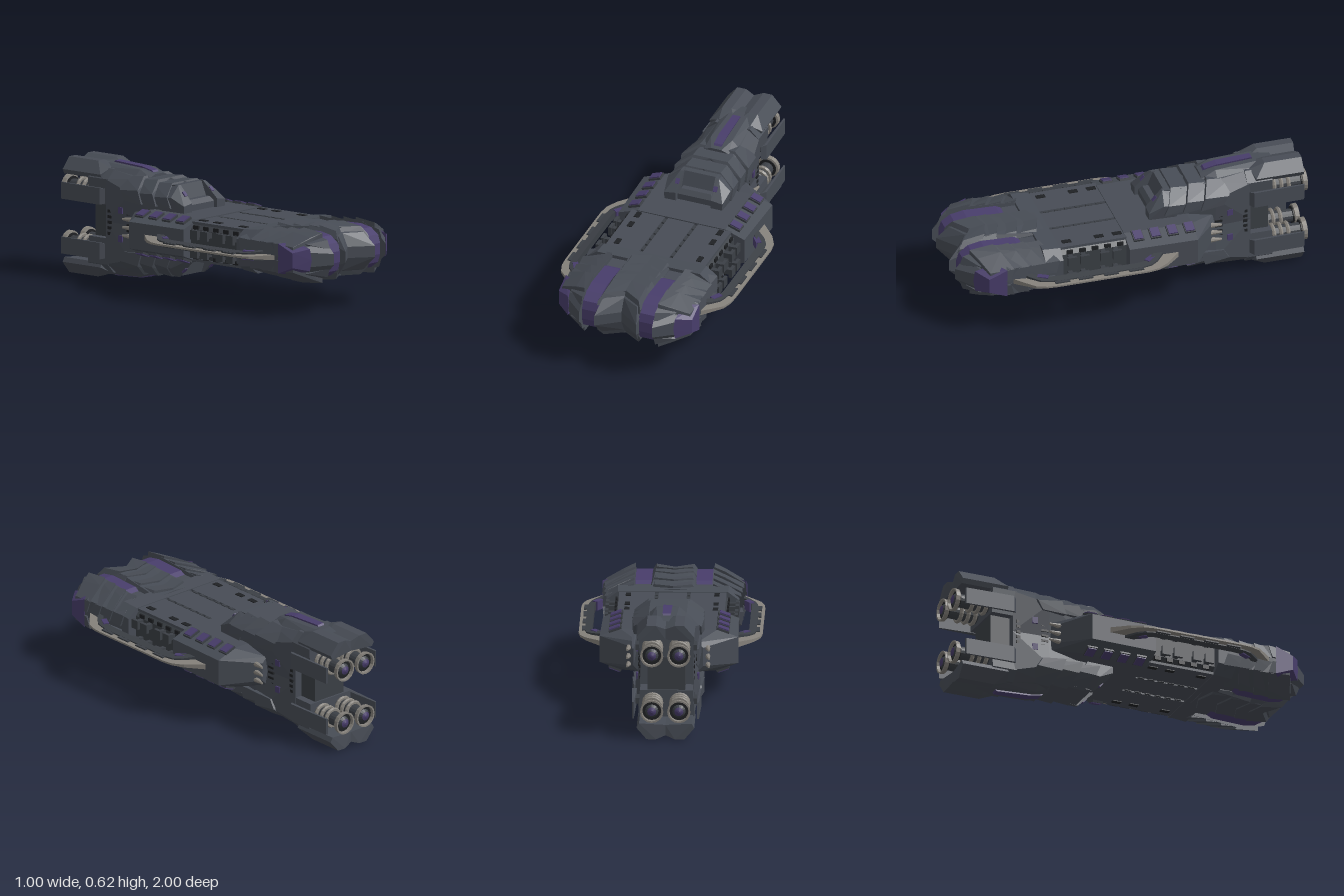
import * as THREE from 'three';
import { ConvexGeometry } from 'three/addons/geometries/ConvexGeometry.js';

const mat = (name, color, side = THREE.FrontSide) => {
  const m = new THREE.MeshStandardMaterial({ color, side });
  m.name = name;
  return m;
};

export function createModel() {
  const hullMat = mat('slate hull', 0x474c55);
  const panelMat = mat('dark panel', 0x3b3f45);
  const purple = mat('purple', 0x483d6b);
  const metal = mat('pale metal', 0x85817b, THREE.DoubleSide);
  const black = mat('recess', 0x1f2124);

  const ship = new THREE.Group();
  ship.name = 'ship';

  // Copy of a geometry mirrored in x and/or y, winding kept outward
  const mirrored = (geo, sx, sy) => {
    const g = geo.index ? geo.toNonIndexed() : geo.clone();
    const p = g.attributes.position;
    for (let i = 0; i < p.count; i += 3) {
      const v = [0, 1, 2].map(k => new THREE.Vector3().fromBufferAttribute(p, i + k));
      if (sx * sy < 0) v.reverse();
      v.forEach((q, k) => p.setXYZ(i + k, q.x * sx, q.y * sy, q.z));
    }
    g.computeVertexNormals();
    return g;
  };
  // Adds a part, mirrored along the listed axes
  const put = (name, geo, material, axes = 'xy') => {
    for (const sx of axes.includes('x') ? [1, -1] : [1])
      for (const sy of axes.includes('y') ? [1, -1] : [1]) {
        const mesh = new THREE.Mesh(mirrored(geo, sx, sy), material);
        mesh.name = name;
        ship.add(mesh);
      }
  };
  const solid = pts => new ConvexGeometry(pts.map(p => new THREE.Vector3(...p)));
  const box = (w, h, d, x, y, z) => new THREE.BoxGeometry(w, h, d).translate(x, y, z);
  // Chamfered ring of corners at one z
  const oct = (z, w, h, cx, cy) => [1, -1].flatMap(a => [1, -1].flatMap(b =>
    [[a * (w - cx), b * h, z], [a * w, b * (h - cy), z]]));
  // Both signs of y, or of x, for a list of points
  const upDown = pts => pts.flatMap(([x, y, z]) => [[x, y, z], [x, -y, z]]);
  const bothSides = pts => pts.flatMap(([x, y, z]) => [[x, y, z], [-x, y, z]]);

  // Main hull
  put('midHull', solid([...oct(0.5, 0.3, 0.098, 0.03, 0.03), ...oct(0, 0.3, 0.098, 0.03, 0.03)]), panelMat, '');
  put('rearHull', solid([...oct(0.065, 0.36, 0.112, 0.11, 0.04), ...oct(-0.31, 0.368, 0.112, 0.11, 0.04),
    ...oct(-0.455, 0.185, 0.08, 0.03, 0.03)]), hullMat, '');
  put('frontCollar', solid([...oct(0.43, 0.352, 0.11, 0.06, 0.045), ...oct(0.53, 0.355, 0.118, 0.06, 0.045)]), hullMat, '');

  // Mid deck plates, ribs and hatches
  put('centreDeck', box(0.15, 0.012, 0.38, 0, 0.1, 0.25), hullMat, 'y');
  put('sideDeck', box(0.19, 0.014, 0.38, 0.19, 0.1, 0.25), hullMat);
  for (let i = 0; i < 6; i++)
    put('deckRib', box(0.014, 0.012, 0.035, 0.085, 0.102, 0.1 + i * 0.058), panelMat);
  for (const z of [0.1, 0.2, 0.38])
    put('deckHatch', box(0.028, 0.012, 0.05, 0.235, 0.105, z), black);
  // Side brackets
  for (const z of [0.13, 0.2, 0.31, 0.38]) {
    put('bracketArm', box(0.05, 0.03, 0.025, 0.318, 0.05, z), panelMat);
    put('bracketPad', box(0.018, 0.05, 0.05, 0.345, 0.05, z), panelMat);
  }
  for (const z of [0.1, 0.17, 0.24, 0.31, 0.38])
    put('sideSlot', box(0.01, 0.02, 0.035, 0.298, 0.08, z), black);
  // Rear deck windows, lying on the sloped deck edge
  for (const z of [0, -0.095, -0.19, -0.285]) {
    const tilted = (w, h, d, x, y) => new THREE.BoxGeometry(w, h, d).rotateZ(-0.35).translate(x, y, z);
    put('windowFrame', tilted(0.07, 0.018, 0.058, 0.285, 0.103), panelMat);
    put('window', tilted(0.058, 0.009, 0.048, 0.289, 0.113), purple);
  }

  // Front side lobes with overlapping armour scales
  put('lobe', solid(upDown([[0.205, 0.112, 0.47], [0.205, 0.14, 0.8], [0.205, 0.09, 0.93], [0.208, 0.03, 0.99],
    [0.35, 0.07, 0.47], [0.372, 0.08, 0.74], [0.37, 0.045, 0.845]])), hullMat, 'x');
  for (let i = 0; i < 4; i++) {
    const z = 0.455 + i * 0.085, h = 0.128 + i * 0.007, o = 0.365 + i * 0.004;
    put('lobeScale', solid([
      [0.21, h, z + 0.07], [0.21, h - 0.014, z + 0.2], [0.27, h - 0.018, z + 0.045], [0.27, h - 0.036, z + 0.17],
      [o, 0.078, z], [o - 0.012, 0.068, z + 0.13], [o + 0.008, 0.012, z + 0.02], [o - 0.004, 0.012, z + 0.13],
      [0.21, 0.012, z + 0.07], [0.21, 0.012, z + 0.2]]), hullMat);
  }
  put('lobeBrow', solid([[0.208, 0.147, 0.78], [0.208, 0.1, 0.945], [0.3, 0.108, 0.77], [0.3, 0.08, 0.88],
    [0.208, 0.05, 0.8], [0.3, 0.05, 0.8], [0.208, 0.05, 0.965]]), hullMat);
  put('cheek', solid(upDown([[0.315, 0.09, 0.8], [0.382, 0.08, 0.75], [0.382, 0.04, 0.85], [0.307, 0.06, 0.908], [0.3, 0, 0.915]])), purple, 'x');

  // Purple bands wrapping the nose
  put('bandChannel', box(0.1, 0.2, 0.3, 0.165, 0, 0.6), hullMat, 'x');
  put('noseBand', solid([0.118, 0.206].flatMap(x => upDown([[x, 0.1, 0.61], [x, 0.115, 0.64], [x, 0.121, 0.82],
    [x, 0.108, 0.89], [x, 0.075, 0.94], [x, 0.03, 0.955]]))), purple, 'x');

  // Centre nose block with a notched front
  put('noseBlock', solid(upDown([[0, 0.118, 0.46], [0.12, 0.11, 0.46], [0, 0.14, 0.78], [0.1, 0.14, 0.78], [0.122, 0.09, 0.82],
    [0, 0.1, 0.87], [0.1, 0.1, 0.93], [0, 0.03, 0.905], [0.12, 0.03, 0.995]])), hullMat, 'x');
  for (let i = 0; i < 3; i++) {
    const z = 0.47 + i * 0.11, h = 0.13 + i * 0.006;
    put('noseScale', solid([[0, h, z], [0.1, h, z + 0.035], [0.121, h - 0.03, z + 0.04], [0, h - 0.012, z + 0.16],
      [0.1, h - 0.012, z + 0.19], [0.121, h - 0.045, z + 0.18], [0, 0.05, z], [0.121, 0.05, z + 0.04],
      [0, 0.05, z + 0.16], [0.121, 0.05, z + 0.18]]), hullMat);
  }
  put('noseBrow', solid([[0, 0.146, 0.76], [0.095, 0.147, 0.79], [0.122, 0.1, 0.82], [0, 0.132, 0.845], [0.1, 0.13, 0.91],
    [0.122, 0.09, 0.94], [0, 0.08, 0.8], [0.122, 0.07, 0.82], [0, 0.09, 0.865], [0.122, 0.07, 0.95]]), hullMat);

  // Side rails: bands between an outer and an inner path, thinning outward
  const band = (outer, inner, half, slope) => {
    const g = new THREE.ExtrudeGeometry(
      new THREE.Shape([...outer, ...inner.slice().reverse()].map(p => new THREE.Vector2(...p))),
      { depth: 2, bevelEnabled: false }).rotateX(Math.PI / 2).translate(0, 1, 0);
    const p = g.attributes.position;
    for (let i = 0; i < p.count; i++)
      p.setY(i, p.getY(i) * (half - slope * (p.getX(i) - 0.36)));
    return g;
  };
  const edge = [[0.345, 0.74], [0.4, 0.685], [0.465, 0.615], [0.483, 0.56], [0.488, 0.5], [0.488, 0], [0.478, -0.06], [0.445, -0.12], [0.35, -0.22]];
  const middle = [[0.345, 0.675], [0.39, 0.635], [0.435, 0.58], [0.446, 0.54], [0.455, 0.48], [0.455, 0.02], [0.446, -0.03], [0.42, -0.07], [0.35, -0.13]];
  const inside = [[0.345, 0.63], [0.38, 0.6], [0.408, 0.55], [0.413, 0.52], [0.416, 0.48], [0.416, 0.03], [0.411, 0], [0.39, -0.035], [0.35, -0.08]];
  put('railEdge', band(edge, middle, 0.015, 0.08), metal, 'x');
  put('railBody', band(middle, inside, 0.03, 0.17), panelMat, 'x');
  for (const z of [0.06, 0.2, 0.34, 0.47])
    put('railClamp', box(0.03, 0.026, 0.08, 0.457, 0, z), panelMat, 'x');
  put('railJoint', new THREE.BoxGeometry(0.03, 0.05, 0.06).rotateY(-0.5).translate(0.402, 0, 0.56), purple, 'x');
  put('railJoint', new THREE.BoxGeometry(0.03, 0.05, 0.06).rotateY(0.65).translate(0.394, 0, -0.035), purple, 'x');

  // Tower above and below the hull
  put('towerBody', solid([[0, 0, -0.2], [0.14, 0, -0.2], [0.14, 0.1, -0.14], [0, 0.1, -0.16], [0, 0.235, -0.22], [0.1, 0.235, -0.22],
    [0.16, 0.175, -0.2], [0.108, 0.25, -0.45], [0.18, 0.18, -0.47], [0.15, 0, -0.47], [0.09, 0.275, -0.67],
    [0.148, 0.23, -0.67], [0.14, 0, -0.67], [0, 0.275, -0.67], [0, 0, -0.67]]), hullMat);
  put('towerProng', solid([[0.1, 0.11, -0.1], [0.165, 0.11, -0.1], [0.1, 0.16, -0.1], [0.167, 0.15, -0.1], [0.09, 0.248, -0.19],
    [0.11, 0.246, -0.19], [0.18, 0.19, -0.18], [0.09, 0.24, -0.3], [0.18, 0.18, -0.28], [0.172, 0.11, -0.25], [0.09, 0.11, -0.25]]), hullMat);
  put('towerVisor', solid(bothSides([[0.11, 0.11, -0.15], [0.11, 0.246, -0.2], [0.11, 0.24, -0.3], [0.11, 0.11, -0.3]])), hullMat, 'y');
  put('towerStep', solid(bothSides([[0.1, 0.11, -0.12], [0.1, 0.145, -0.12], [0.085, 0.17, -0.14], [0.085, 0.17, -0.2], [0.1, 0.11, -0.2]])), hullMat, 'y');
  put('towerLight', new THREE.BoxGeometry(0.022, 0.03, 0.009).rotateX(-0.73).translate(0.108, 0.205, -0.146), purple);
  for (let i = 0; i < 3; i++) {
    const z = -0.24 - i * 0.1, h = 0.252 + i * 0.007, w = 0.186 + i * 0.003;
    put('towerScale', solid([[0, h, z], [0.1, h, z], [w, h - 0.062, z + 0.035], [w, 0.13, z + 0.06], [0, h - 0.012, z - 0.14],
      [0.1, h - 0.012, z - 0.14], [w - 0.012, h - 0.075, z - 0.1], [w - 0.012, 0.14, z - 0.07], [0, 0.13, z], [0, 0.13, z - 0.12]]), hullMat);
  }
  // Ridge with its stripe
  put('towerRidge', solid(bothSides([[0.07, 0.255, -0.42], [0.1, 0.255, -0.5], [0.06, 0.29, -0.5], [0.05, 0.302, -0.76],
    [0.09, 0.28, -0.74], [0.03, 0.298, -0.82], [0.03, 0.27, -0.42]])), hullMat, 'y');
  put('ridgeStripe', solid(bothSides([[0.016, 0.255, -0.425], [0.023, 0.285, -0.45], [0.025, 0.3, -0.52],
    [0.022, 0.309, -0.71], [0.016, 0.29, -0.725], [0.018, 0.25, -0.45]])), purple, 'y');
  // Tower side details
  put('sideLight', new THREE.BoxGeometry(0.009, 0.035, 0.03).rotateY(0.13).translate(0.161, 0.077, -0.55), purple);
  for (const y of [0, 0.03, 0.06]) {
    put('sideVent', box(0.012, 0.012, 0.04, 0.152, y, -0.49), black);
    put('rearVent', box(0.01, 0.016, 0.025, 0.143, y, -0.64), black);
  }
  // Tail thrusters on the slanted hull corners
  for (const y of [-0.045, 0, 0.045])
    put('tailCone', new THREE.CylinderGeometry(0.006, 0.02, 0.09, 8).rotateX(-Math.PI / 2).rotateY(-0.15)
      .translate(0.21, y, -0.445), metal, 'x');

  // Engine section
  put('tailColumn', box(0.2, 0.2, 0.13, 0, 0, -0.715), panelMat, '');
  put('engineBlock', solid([-0.65, -0.79].flatMap(z => bothSides([[0.14, 0.09, z], [0.15, 0.23, z], [0.1, 0.28, z]]))), hullMat, 'y');
  put('engineRoof', solid([[0, 0.28, -0.68], [0.09, 0.282, -0.68], [0, 0.292, -0.78], [0.05, 0.312, -0.76], [0.1, 0.312, -0.76],
    [0.153, 0.25, -0.7], [0, 0.292, -0.955], [0.05, 0.312, -0.965], [0.1, 0.312, -0.965], [0.153, 0.25, -0.965],
    [0.14, 0.225, -0.965], [0, 0.235, -0.955], [0.14, 0.225, -0.7], [0, 0.235, -0.7]]), hullMat);
  // Side shields beside the engines
  for (const y of [0.14, -0.155]) {
    put('engineShield', solid([-1, 1].flatMap(s => [[0.16, y + s * 0.04, -0.66], [0.172, y + s * 0.045, -0.68],
      [0.184, y + s * 0.045, -0.68], [0.168, y + s * 0.045, -0.96], [0.178, y + s * 0.045, -0.955]])), hullMat, 'x');
    put('shieldStrut', box(0.05, 0.03, 0.08, 0.15, y, -0.73), panelMat, 'x');
  }

  // Four engines with coils, bell and core
  const tube = (r0, r1, len, z) => new THREE.CylinderGeometry(r0, r1, len, 16)
    .rotateX(-Math.PI / 2).translate(0.072, 0.153, z);
  put('engineShaft', tube(0.036, 0.042, 0.18, -0.87), panelMat);
  for (const z of [-0.81, -0.85, -0.89])
    put('engineCoil', new THREE.TorusGeometry(0.046, 0.011, 6, 16).translate(0.072, 0.153, z), metal);
  put('engineBell', new THREE.LatheGeometry([[0.04, 0.028], [0.06, 0.024], [0.062, 0], [0.053, 0], [0.05, 0.02]]
    .map(p => new THREE.Vector2(...p)).reverse(), 16).rotateX(Math.PI / 2).translate(0.072, 0.153, -0.992), metal);
  put('engineThroat', tube(0.05, 0.05, 0.015, -0.968), black);
  put('engineCone', tube(0.024, 0.04, 0.02, -0.98), panelMat);
  put('engineCore', tube(0.006, 0.024, 0.008, -0.994), purple);

  // Settle the ship on the ground with its slight yaw
  ship.position.set(0.011, 0.313, 0);
  ship.rotation.y = -0.044;
  const model = new THREE.Group();
  model.name = 'spaceship';
  model.add(ship);
  return model;
}
